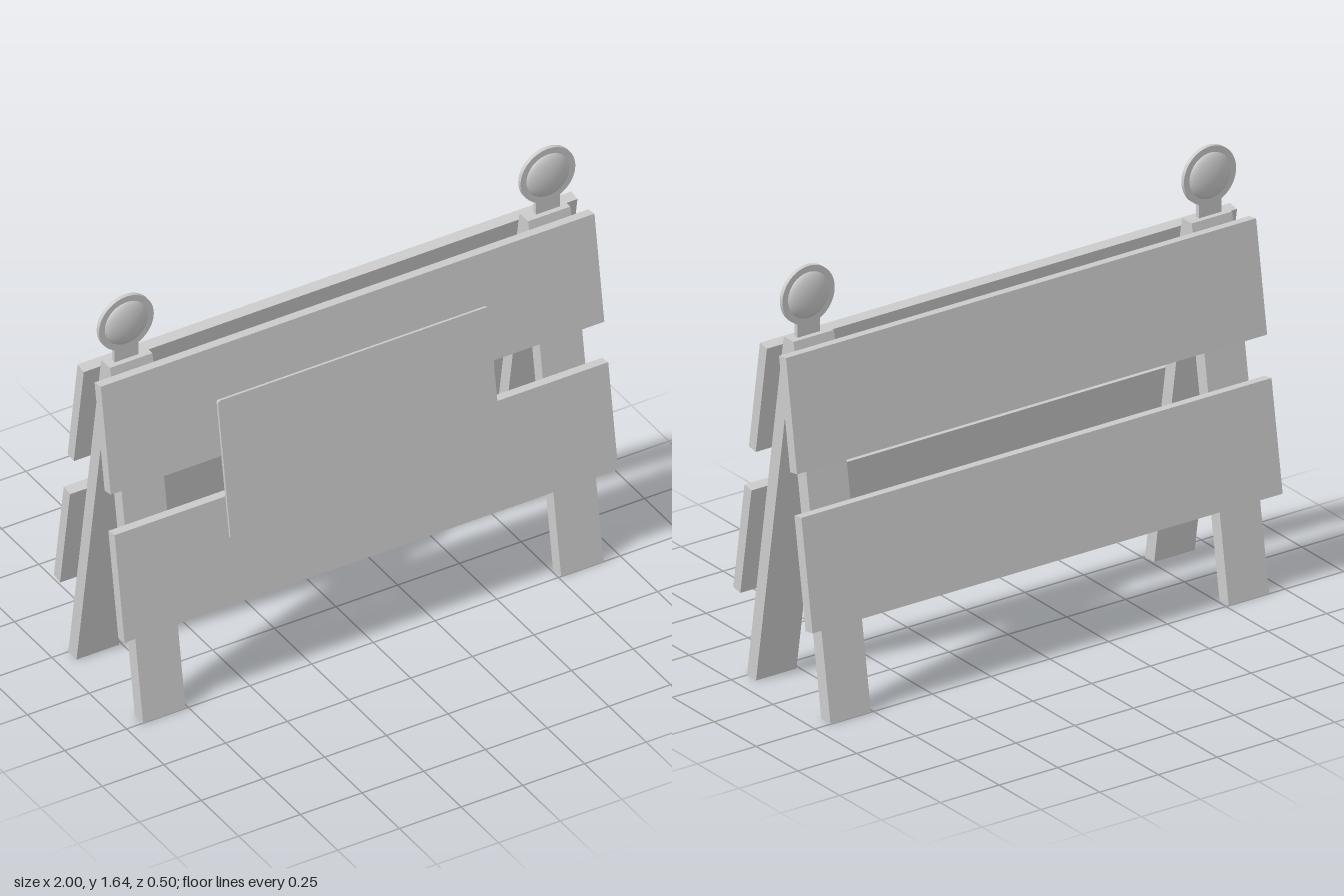
import * as THREE from 'three';

const grey = () => new THREE.MeshStandardMaterial({ color: 0xcccccc });

// Extrudes a side profile of [z, y] points along x, centred on x = 0
function extrudeAlongX(points, width) {
  const shape = new THREE.Shape(points.map(([z, y]) => new THREE.Vector2(-z, y)));
  const geo = new THREE.ExtrudeGeometry(shape, { depth: width, bevelEnabled: false });
  geo.translate(0, 0, -width / 2);
  geo.rotateY(Math.PI / 2);
  return geo;
}

function part(name, geometry) {
  const mesh = new THREE.Mesh(geometry, grey());
  mesh.name = name;
  return mesh;
}

// Warning lamp with a thin rim, domed lens and flat neck
function makeLamp(name) {
  const lamp = new THREE.Group();
  lamp.name = name;
  const rim = part('lampRim', new THREE.CylinderGeometry(0.111, 0.111, 0.016, 48).rotateX(Math.PI / 2));
  const lens = part('lampLens', new THREE.SphereGeometry(0.09, 40, 24).rotateX(Math.PI / 2).scale(1, 1, 0.38));
  const neck = part('lampNeck', new THREE.BoxGeometry(0.096, 0.1, 0.016));
  neck.position.y = -0.115;
  lamp.add(rim, lens, neck);
  return lamp;
}

// Thin sign plate with slightly rounded corners
function makeSign(w, h, r, depth) {
  const x = w / 2, y = h / 2;
  const s = new THREE.Shape();
  s.moveTo(-x + r, -y);
  s.lineTo(x - r, -y).quadraticCurveTo(x, -y, x, -y + r);
  s.lineTo(x, y - r).quadraticCurveTo(x, y, x - r, y);
  s.lineTo(-x + r, y).quadraticCurveTo(-x, y, -x, y - r);
  s.lineTo(-x, -y + r).quadraticCurveTo(-x, -y, -x + r, -y);
  return part('signPlate', new THREE.ExtrudeGeometry(s, { depth, bevelEnabled: false, curveSegments: 4 }));
}

export function createModel() {
  const model = new THREE.Group();
  model.name = 'barricade';

  // A-shaped leg frames, each carrying a lamp
  const frame = [[0.25, 0], [0.035, 1.345], [0.028, 1.375], [-0.028, 1.375], [-0.035, 1.345],
    [-0.25, 0], [-0.195, 0], [0, 1.205], [0.195, 0]];
  for (const side of [1, -1]) {
    const label = side > 0 ? 'left' : 'right';
    const legs = part(label + 'LegFrame', extrudeAlongX(frame, 0.172));
    legs.position.x = side * 0.847;
    const lamp = makeLamp(label + 'Lamp');
    lamp.position.set(side * 0.854, 1.526, 0);
    model.add(legs, lamp);
  }

  // Sloping boards on the front and back
  const boards = {
    UpperBoard: [[0.078, 1.35], [0.036, 1.343], [0.103, 0.924], [0.144, 0.931]],
    LowerBoard: [[0.17, 0.775], [0.128, 0.768], [0.195, 0.352], [0.237, 0.359]],
  };
  for (const [name, profile] of Object.entries(boards)) {
    model.add(part('front' + name, extrudeAlongX(profile, 2)));
    model.add(part('back' + name, extrudeAlongX(profile.map(([z, y]) => [-z, y]), 2)));
  }

  // Sign plate lying on the front boards
  const sign = makeSign(1.097, 0.545, 0.012, 0.012);
  sign.position.set(-0.003, 0.878, 0.152);
  sign.rotation.x = -Math.atan(0.16);
  model.add(sign);

  return model;
}
